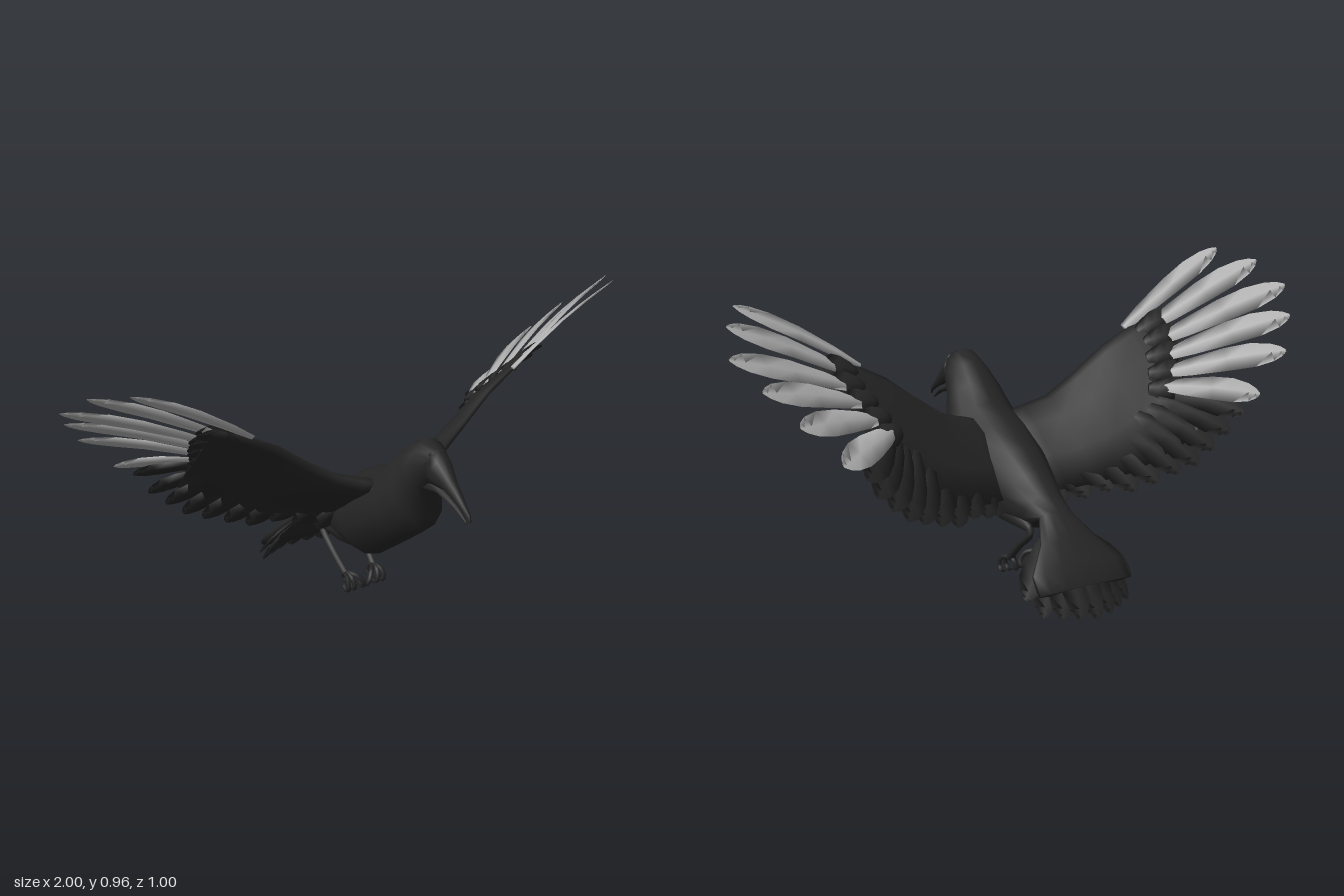
import * as THREE from 'three';

const dark = new THREE.MeshStandardMaterial({ color: 0x262626 });
dark.name = 'blackPlumage';
const grey = new THREE.MeshStandardMaterial({ color: 0xb2b2b2 });
grey.name = 'paleFeather';

const V = (x, y, z) => new THREE.Vector3(x, y, z);

// Closed skin over a list of equal-sized rings, capped at both ends, always facing outward
function loft(rings) {
  const n = rings[0].length, pos = [], idx = [];
  rings.forEach(r => r.forEach(p => pos.push(p.x, p.y, p.z)));
  for (let i = 0; i < rings.length - 1; i++) {
    for (let j = 0; j < n; j++) {
      const a = i * n + j, b = i * n + (j + 1) % n;
      idx.push(a, b, a + n, b, b + n, a + n);
    }
  }
  [0, rings.length - 1].forEach((ri, end) => {
    const c = rings[ri].reduce((s, p) => s.add(p), V(0, 0, 0)).divideScalar(n);
    const ci = pos.length / 3;
    pos.push(c.x, c.y, c.z);
    for (let j = 0; j < n; j++) {
      const a = ri * n + j, b = ri * n + (j + 1) % n;
      if (end) idx.push(a, b, ci); else idx.push(b, a, ci);
    }
  });
  // Flip the winding if the enclosed volume is negative
  const at = i => V(pos[3 * i], pos[3 * i + 1], pos[3 * i + 2]);
  let volume = 0;
  for (let k = 0; k < idx.length; k += 3) volume += at(idx[k]).dot(at(idx[k + 1]).cross(at(idx[k + 2])));
  if (volume < 0) idx.reverse();
  const g = new THREE.BufferGeometry();
  g.setAttribute('position', new THREE.Float32BufferAttribute(pos, 3));
  g.setIndex(idx);
  g.computeVertexNormals();
  return g;
}

function add(group, name, geometry, material = dark) {
  const m = new THREE.Mesh(geometry, material);
  m.name = name;
  group.add(m);
}

// Oval sections: [topZ, topY, bottomZ, bottomY, halfWidth]
function ovalLoft(sections, sides = 14) {
  return loft(sections.map(([tz, ty, bz, by, w]) => Array.from({ length: sides }, (_, j) => {
    const a = j / sides * Math.PI * 2, k = (1 + Math.cos(a)) / 2;
    return V(w * Math.sin(a), by + (ty - by) * k, bz + (tz - bz) * k);
  })));
}

// Thin pointed blade with a raised shaft, lying in the plane given by its normal
function feather(base, tip, width, normal, twist = 0.15) {
  const axis = tip.clone().sub(base).normalize();
  const side = normal.clone().cross(axis).normalize().applyAxisAngle(axis, twist);
  const up = axis.clone().cross(side).normalize();
  const profile = [[0, 0.4], [0.2, 0.7], [0.5, 0.95], [0.72, 1], [0.88, 0.75], [0.96, 0.42], [1, 0.08]];
  return loft(profile.map(([t, w]) => {
    const c = base.clone().lerp(tip, t).addScaledVector(up, 0.012 * Math.sin(Math.PI * t));
    const h = 0.007 * (1.1 - t);
    return [[1, 0], [0, 1], [-1, 0], [0, -1]].map(([a, b]) =>
      c.clone().addScaledVector(side, a * w * width / 2).addScaledVector(up, b * h));
  }));
}

function buildBody(root) {
  add(root, 'bodyAndHead', ovalLoft([
    [0.34, 0.665, 0.315, 0.54, 0.045], [0.28, 0.685, 0.30, 0.515, 0.068],
    [0.225, 0.655, 0.285, 0.48, 0.08], [0.17, 0.61, 0.27, 0.41, 0.1],
    [0.11, 0.54, 0.26, 0.36, 0.122], [0.02, 0.5, 0.14, 0.27, 0.13],
    [-0.08, 0.44, 0.03, 0.19, 0.12], [-0.16, 0.38, -0.05, 0.185, 0.1],
    [-0.22, 0.33, -0.17, 0.20, 0.075], [-0.28, 0.285, -0.24, 0.25, 0.058],
    [-0.35, 0.22, -0.31, 0.19, 0.1], [-0.41, 0.155, -0.36, 0.115, 0.165],
    [-0.45, 0.1, -0.41, 0.07, 0.17],
  ]));
  add(root, 'upperBeak', ovalLoft([
    [0.33, 0.67, 0.315, 0.545, 0.047], [0.36, 0.65, 0.335, 0.55, 0.042],
    [0.41, 0.595, 0.385, 0.55, 0.024], [0.46, 0.545, 0.45, 0.52, 0.013],
    [0.495, 0.51, 0.488, 0.498, 0.007], [0.5, 0.49, 0.497, 0.486, 0.003],
  ], 10));
  add(root, 'lowerBeak', ovalLoft([
    [0.31, 0.565, 0.305, 0.52, 0.035], [0.36, 0.55, 0.355, 0.53, 0.022],
    [0.43, 0.52, 0.43, 0.505, 0.012], [0.48, 0.483, 0.477, 0.477, 0.003],
  ], 8));
}

// Fan of tail feathers, drooping toward the edges
function buildTail(root) {
  const tips = [[0, 0.003, -0.5], [0.055, 0.008, -0.49], [0.105, 0.012, -0.465], [0.155, 0.018, -0.435], [0.195, 0.07, -0.395]];
  tips.forEach(([x, y, z], i) => (i ? [1, -1] : [1]).forEach(s => {
    const base = V(s * x * 0.25, 0.24 - i * 0.004, -0.3);
    add(root, 'tailFeather', feather(base, V(s * x, y, z), 0.085, V(s * x, 0.65, -0.75).normalize(), 0.08 * s));
  }));
}

function buildWing(root, s) {
  const wing = new THREE.Group();
  wing.name = s > 0 ? 'leftWing' : 'rightWing';
  root.add(wing);
  const P = a => V(s * a[0], a[1], a[2]);
  const normal = V(-0.38 * s, 0.65, -0.66).normalize();

  // Arm: leading point, trailing point, thickness
  const arm = [
    [[0.05, 0.49, 0.15], [0.06, 0.29, -0.1], 0.05], [[0.12, 0.51, 0.13], [0.14, 0.29, -0.13], 0.05],
    [[0.2, 0.54, 0.1], [0.24, 0.31, -0.17], 0.04], [[0.3, 0.61, 0.085], [0.34, 0.33, -0.2], 0.034],
    [[0.4, 0.685, 0.075], [0.43, 0.37, -0.22], 0.028], [[0.5, 0.738, 0.068], [0.52, 0.42, -0.25], 0.022],
    [[0.6, 0.775, 0.05], [0.57, 0.47, -0.25], 0.014],
  ];
  const foil = [[0, 0], [0.08, 0.6], [0.3, 1], [0.65, 0.7], [1, 0.08], [0.65, -0.15], [0.3, -0.35], [0.08, -0.4]];
  add(wing, 'wingArm', loft(arm.map(([l, t, h]) => foil.map(([u, v]) =>
    P(l).lerp(P(t), u).addScaledVector(normal, v * h)))));

  // Dark flight feathers along the trailing edge: base, tip
  const trailing = [
    [[0.08, 0.38, 0], [0.13, 0.25, -0.13]], [[0.13, 0.39, -0.02], [0.19, 0.265, -0.17]],
    [[0.19, 0.4, -0.04], [0.26, 0.285, -0.2]], [[0.26, 0.42, -0.07], [0.33, 0.278, -0.23]],
    [[0.31, 0.44, -0.08], [0.4, 0.3, -0.25]], [[0.36, 0.47, -0.1], [0.47, 0.325, -0.27]],
    [[0.41, 0.5, -0.12], [0.53, 0.35, -0.29]], [[0.45, 0.52, -0.13], [0.585, 0.395, -0.3]],
    [[0.48, 0.55, -0.14], [0.64, 0.445, -0.31]], [[0.5, 0.57, -0.13], [0.68, 0.51, -0.33]],
  ];
  trailing.forEach(([b, t]) => add(wing, 'trailingFeather', feather(P(b), P(t), 0.095, normal, 0.1 * s)));

  // Dark coverts making the ragged edge over the pale feathers
  const coverts = [
    [[0.52, 0.72, 0.04], [0.645, 0.765, 0.025]], [[0.52, 0.69, 0], [0.645, 0.715, -0.025]],
    [[0.5, 0.65, -0.04], [0.625, 0.665, -0.075]], [[0.48, 0.61, -0.08], [0.595, 0.61, -0.125]],
    [[0.46, 0.57, -0.11], [0.58, 0.56, -0.175]],
  ];
  coverts.forEach(([b, t]) => [0.007, -0.007].forEach(o => add(wing, 'covertFeather',
    feather(P(b).addScaledVector(normal, o), P(t).addScaledVector(normal, o), 0.085, normal, 0))));

  // Pale primary feathers fanning from the wrist
  const primaries = [
    [[0.49, 0.735, 0.075], [0.885, 0.96, 0.095], 0.075], [[0.56, 0.735, 0.03], [0.96, 0.93, -0.025], 0.09],
    [[0.57, 0.7, -0.02], [1, 0.86, -0.13], 0.095], [[0.56, 0.66, -0.07], [0.945, 0.78, -0.225], 0.095],
    [[0.53, 0.615, -0.11], [0.87, 0.685, -0.3], 0.095], [[0.5, 0.58, -0.14], [0.75, 0.56, -0.32], 0.095],
  ];
  primaries.forEach(([b, t, w]) => add(wing, 'primaryFeather', feather(P(b), P(t), w, normal, 0.15 * s), grey));
}

function buildLeg(root, s) {
  const leg = new THREE.Group();
  leg.name = s > 0 ? 'leftLeg' : 'rightLeg';
  root.add(leg);
  const tube = (name, points, r) => add(leg, name, new THREE.TubeGeometry(
    new THREE.CatmullRomCurve3(points.map(([x, y, z]) => V(s * x, y, z))), 12, r, 6));
  // Tapering feathered thigh
  const thigh = [[0, 0.26, 0.045], [-0.08, 0.245, 0.042], [-0.16, 0.23, 0.026], [-0.215, 0.218, 0.014]];
  add(leg, 'thigh', loft(thigh.map(([z, y, r]) => Array.from({ length: 8 }, (_, j) => {
    const a = j * Math.PI / 4;
    return V(s * (0.06 + r * 0.7 * Math.cos(a)), y + r * Math.sin(a), z);
  }))));
  tube('shank', [[0.06, 0.222, -0.205], [0.06, 0.205, -0.215], [0.062, 0.15, -0.155], [0.055, 0.085, -0.085]], 0.012);
  // Curled toes with small claws
  [-0.035, 0, 0.025].forEach(dx => tube('toe',
    [[0.055, 0.09, -0.09], [0.05 + dx * 0.7, 0.078, -0.055], [0.045 + dx, 0.05, -0.045], [0.042 + dx, 0.037, -0.06], [0.042 + dx, 0.048, -0.075]], 0.008));
  tube('rearToe', [[0.055, 0.09, -0.09], [0.05, 0.075, -0.105], [0.045, 0.055, -0.108], [0.042, 0.05, -0.092]], 0.008);
}

export function createModel() {
  const root = new THREE.Group();
  root.name = 'flyingBird';
  buildBody(root);
  buildTail(root);
  [1, -1].forEach(s => {
    buildWing(root, s);
    buildLeg(root, s);
  });
  return root;
}
